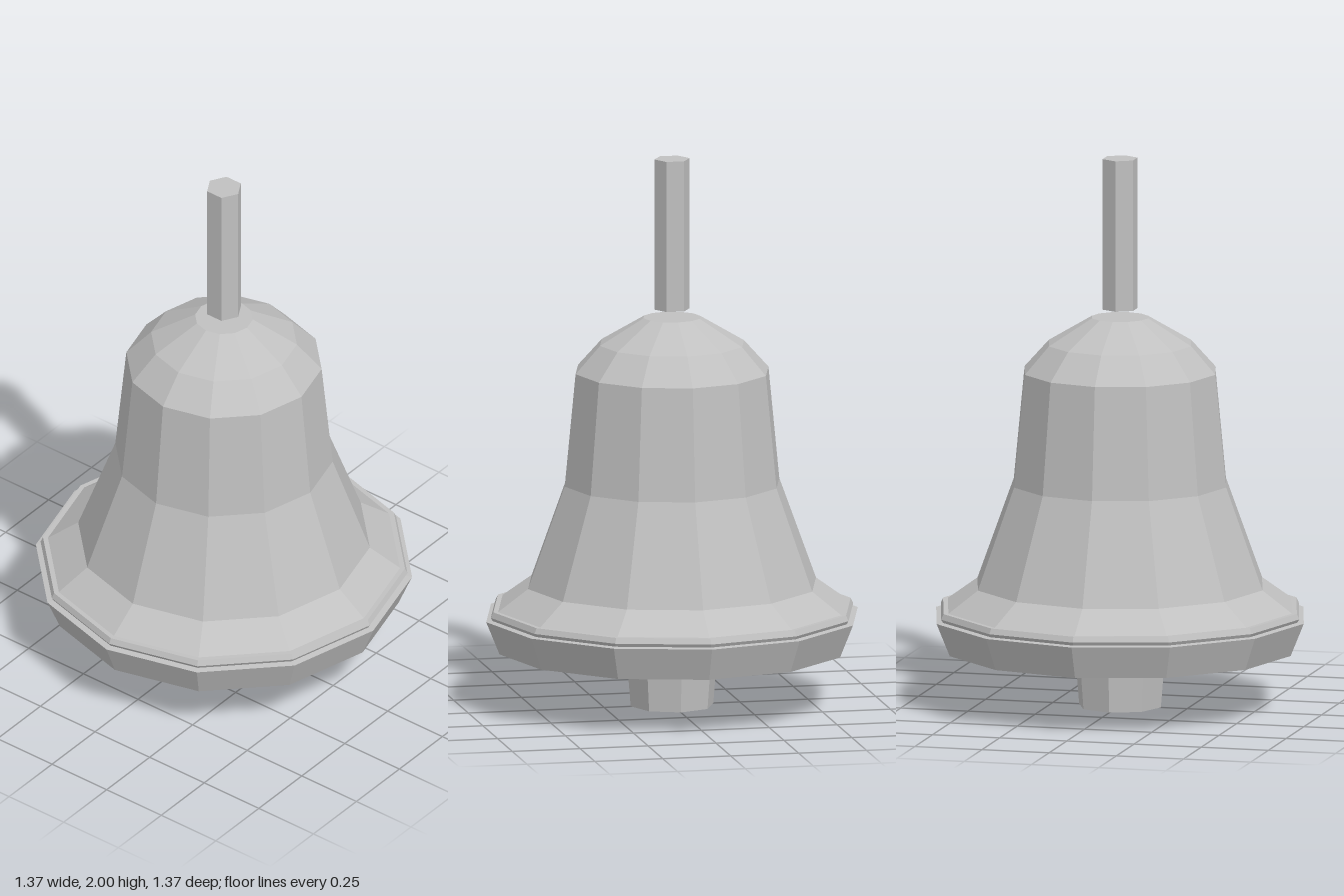
import * as THREE from 'three';

export function createModel() {
  const metal = new THREE.MeshStandardMaterial({ name: 'grey metal', color: 0xc0c0c0, flatShading: true });
  const model = new THREE.Group();
  model.name = 'bell';

  const add = (name, geometry, y = 0) => {
    const mesh = new THREE.Mesh(geometry, metal);
    mesh.name = name;
    mesh.position.y = y;
    model.add(mesh);
  };

  // Twelve-sided solid turned from a profile running bottom to top
  const turned = (profile) =>
    new THREE.LatheGeometry(profile.map(([r, y]) => new THREE.Vector2(r, y)), 12);

  // Domed, flaring body
  add('bellBody', turned([
    [0.64, 0.365], [0.53, 0.445], [0.395, 0.815], [0.355, 1.225],
    [0.265, 1.325], [0.105, 1.42], [0, 1.42],
  ]));

  // Closed base, tapered lip and the thin stepped band above it
  add('rim', turned([
    [0, 0.21], [0.635, 0.21], [0.684, 0.33], [0.66, 0.333],
    [0.667, 0.345], [0.658, 0.365], [0.64, 0.365],
  ]));

  // Eight-sided clapper below the base
  add('clapper', new THREE.CylinderGeometry(0.17, 0.152, 0.22, 8), 0.11);

  // Six-sided rod floating just above the dome
  add('hangingRod', new THREE.CylinderGeometry(0.065, 0.065, 0.55, 6), 1.725);

  return model;
}
